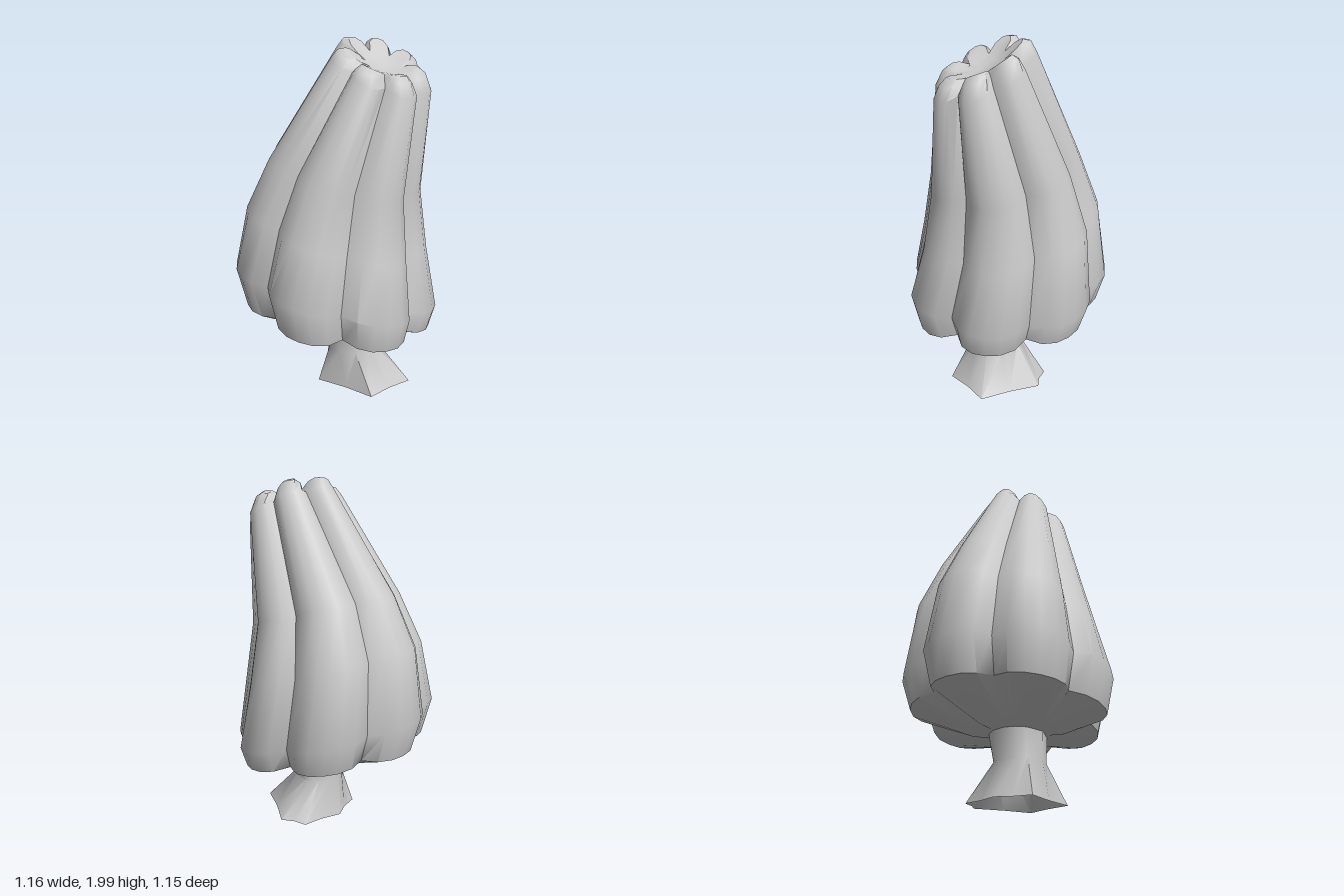
import * as THREE from 'three';
import { mergeVertices, toCreasedNormals } from 'three/addons/utils/BufferGeometryUtils.js';

const LOBES = 7, SEG = 6;

// Skin a stack of closed rings (bottom to top); pointAt(ring, j) gives [x, y, z].
function skin(name, rings, count, pointAt, crease) {
  const pos = [], idx = [];
  rings.forEach((ring, i) => {
    for (let j = 0; j < count; j++) {
      pos.push(...pointAt(ring, j));
      if (i === rings.length - 1) continue;
      const k = (j + 1) % count;
      const a = i * count + j, b = i * count + k, c = b + count, d = a + count;
      if (ring.r !== 0) idx.push(a, d, b);
      if (rings[i + 1].r !== 0) idx.push(b, d, c);
    }
  });
  const geo = new THREE.BufferGeometry();
  geo.setAttribute('position', new THREE.Float32BufferAttribute(pos, 3));
  geo.setIndex(idx);
  const mesh = new THREE.Mesh(
    toCreasedNormals(mergeVertices(geo), crease),
    new THREE.MeshStandardMaterial({ color: 0xcccccc, side: THREE.DoubleSide })
  );
  mesh.name = name;
  return mesh;
}

// c: centre, r: radius, sx/sz: tilt of the ring plane, d: depth of the grooves,
// h: how much higher the grooves lie than the lobes, t: twist in degrees
const capRings = [
  { c: [0.11, 0.37, -0.02], r: 0, sx: 0, sz: 0, d: 0, h: 0, t: 0 },
  { c: [0.10, 0.36, -0.01], r: 0.16, sx: -0.06, sz: 0.02, d: 0, h: 0, t: 0 },
  { c: [0.07, 0.35, 0], r: 0.26, sx: -0.08, sz: 0.02, d: 0.12, h: 0.02, t: 0 },
  { c: [0.01, 0.43, 0.005], r: 0.54, sx: -0.15, sz: 0.05, d: 0.17, h: 0.02, t: 0 },
  { c: [0, 0.60, 0.01], r: 0.587, sx: -0.18, sz: 0.12, d: 0.15, h: 0, t: 0 },
  { c: [-0.005, 0.95, 0], r: 0.52, sx: -0.28, sz: 0.08, d: 0.15, h: 0, t: -4 },
  { c: [0.045, 1.26, -0.01], r: 0.43, sx: -0.27, sz: 0.05, d: 0.16, h: 0, t: -5 },
  { c: [0.245, 1.815, -0.08], r: 0.27, sx: -0.48, sz: -0.03, d: 0.24, h: 0, t: 0 },
  { c: [0.247, 1.875, -0.08], r: 0.24, sx: -0.48, sz: -0.08, d: 0.36, h: -0.03, t: 0 },
  { c: [0.25, 1.895, -0.08], r: 0.2, sx: -0.48, sz: -0.1, d: 0.4, h: -0.04, t: 0 },
  { c: [0.255, 1.87, -0.075], r: 0.15, sx: -0.44, sz: -0.08, d: 0.3, h: -0.025, t: 0 },
  { c: [0.26, 1.84, -0.07], r: 0.09, sx: -0.4, sz: 0, d: 0, h: 0, t: 0 },
  { c: [0.26, 1.83, -0.07], r: 0, sx: 0, sz: 0, d: 0, h: 0, t: 0 },
];

// Each lobe bulges between two sharp grooves.
function capPoint({ c, r, sx, sz, d, h, t }, j) {
  const angle = THREE.MathUtils.degToRad(t - 9) + (j / (LOBES * SEG)) * Math.PI * 2;
  const groove = Math.abs(((j % SEG) / SEG) * 2 - 1) ** 2.5;
  const rad = r * (1 - d * groove);
  const x = rad * Math.cos(angle), z = rad * Math.sin(angle);
  return [c[0] + x, c[1] + sx * x + sz * z + h * groove, c[2] + z];
}

// Foot corners [x, z] around the foot centre, with hollowed sides between them
const footCentre = [0.155, -0.08];
const footCorners = [[0.37, 0.1], [0.01, 0.17], [-0.09, -0.01], [-0.065, -0.25], [0.07, -0.33], [0.4, -0.2]];
const foot = footCorners.flatMap(([x, z], i) => {
  const next = footCorners[(i + 1) % footCorners.length];
  const dx = x - footCentre[0], dz = z - footCentre[1];
  const mx = (x + next[0]) / 2 - footCentre[0], mz = (z + next[1]) / 2 - footCentre[1];
  return [[dx, dz], [mx * 0.95, mz * 0.95]];
});

// The stem is open below; rings with a radius are round, the first follows the foot.
const stemRings = [
  { c: [footCentre[0], 0, footCentre[1]] },
  { c: [0.115, 0.21, -0.015], r: 0.145 },
  { c: [0.11, 0.38, -0.025], r: 0.165 },
];

function stemPoint({ c, r }, j) {
  const [x, z] = foot[j];
  const scale = r ? r / Math.hypot(x, z) : 1;
  return [c[0] + x * scale, c[1], c[2] + z * scale];
}

export function createModel() {
  const group = new THREE.Group();
  group.name = 'lobedMushroom';
  group.add(skin('cap', capRings, LOBES * SEG, capPoint, 0.8));
  group.add(skin('stem', stemRings, foot.length, stemPoint, 0.9));
  return group;
}
